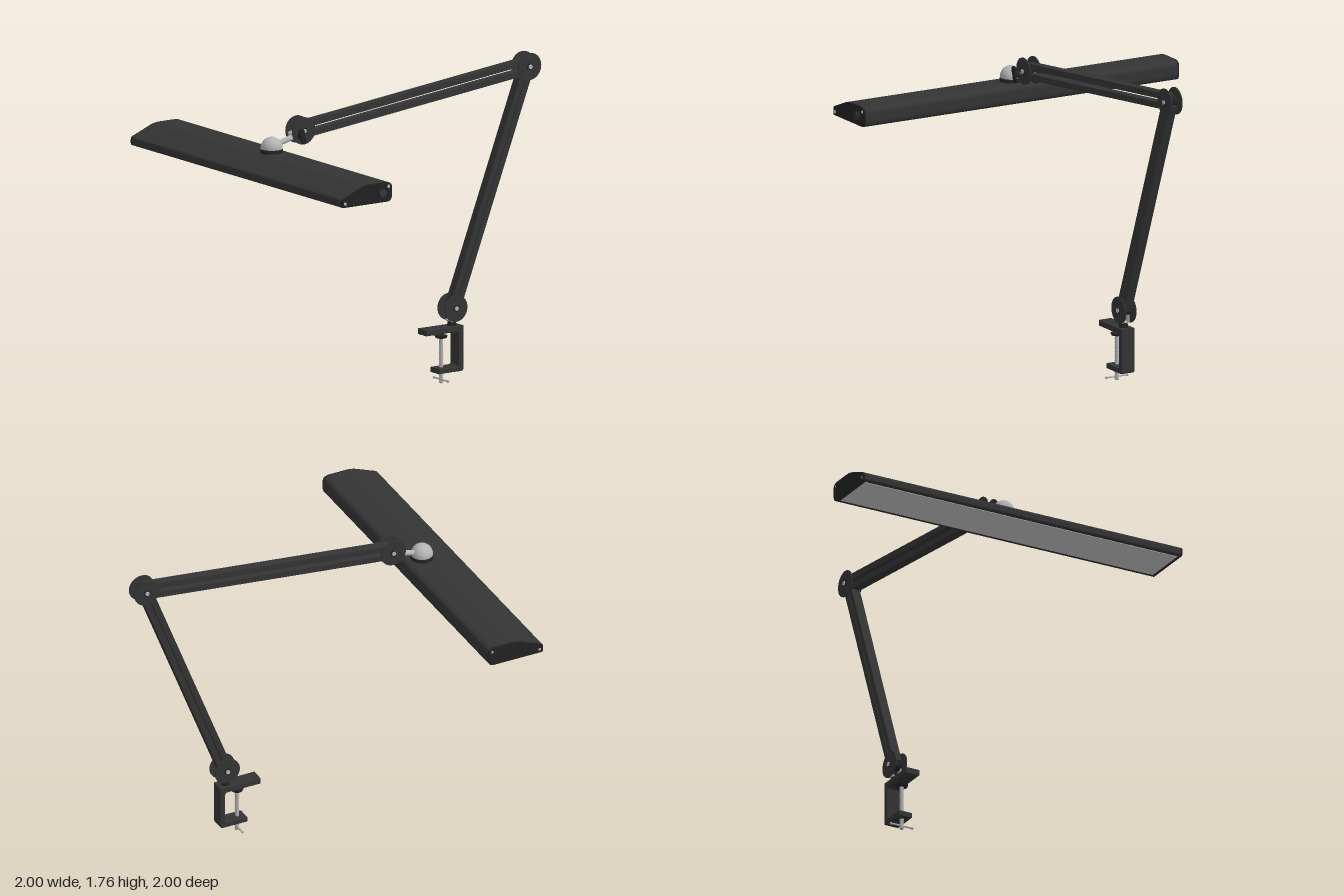
import * as THREE from 'three';

const mat = (name, color, side = THREE.FrontSide) => {
  const m = new THREE.MeshStandardMaterial({ color, side });
  m.name = name;
  return m;
};

export function createModel() {
  const black = mat('black paint', 0x343434);
  const dark = mat('dark plastic', 0x222222);
  const metal = mat('brushed metal', 0xb4b4b4);
  const diffuserMat = mat('diffuser', 0xc4c4c4);
  const model = new THREE.Group();
  model.name = 'deskLamp';

  const add = (name, geo, material, x = 0, y = 0, z = 0, parent = model) => {
    const mesh = new THREE.Mesh(geo, material);
    mesh.name = name;
    mesh.position.set(x, y, z);
    parent.add(mesh);
    return mesh;
  };
  const box = (w, h, d) => new THREE.BoxGeometry(w, h, d);
  // Cylinder lying along x
  const axle = (r, w, n = 32) => new THREE.CylinderGeometry(r, r, w, n).rotateZ(Math.PI / 2);
  // Side profile of [z, y] points, extruded to width w across x
  const profile = (shape, w, bevel = 0) => {
    const g = new THREE.ExtrudeGeometry(shape, {
      depth: w - 2 * bevel, bevelEnabled: bevel > 0, bevelThickness: bevel,
      bevelSize: bevel, bevelOffset: -bevel, bevelSegments: 2, curveSegments: 8,
    });
    return g.translate(0, 0, -w / 2 + bevel).rotateY(-Math.PI / 2);
  };
  // Cylinder between two points in the x = 0 plane, given as [z, y]
  const rod = (name, a, b, r, material) => {
    const dz = b[0] - a[0], dy = b[1] - a[1];
    const g = new THREE.CylinderGeometry(r, r, Math.hypot(dz, dy), 20).rotateX(Math.atan2(dz, dy));
    return add(name, g, material, 0, (a[1] + b[1]) / 2, (a[0] + b[0]) / 2);
  };

  // Joint positions [z, y]
  const base = [-0.43, 0.41], elbow = [-0.92, 1.69], wrist = [0.58, 1.52];

  // Joints: a pair of round plates with bolt heads
  const joint = (name, [z, y]) => {
    const g = new THREE.Group();
    g.name = name;
    g.position.set(0, y, z);
    model.add(g);
    for (const s of [-1, 1]) {
      add('jointPlate', axle(0.075, 0.006, 40), black, s * 0.032, 0, 0, g);
      add('boltWasher', axle(0.019, 0.004, 20), dark, s * 0.037, 0, 0, g);
      add('boltHead', axle(0.013, 0.007, 6), metal, s * 0.041, 0, 0, g);
    }
    add('jointHub', axle(0.03, 0.058, 24), dark, 0, 0, 0, g);
  };
  joint('baseJoint', base);
  joint('elbowJoint', elbow);
  joint('wristJoint', wrist);

  // Arms: two parallel square bars each
  const arm = (name, a, b, offset) => {
    const dz = b[0] - a[0], dy = b[1] - a[1];
    const g = new THREE.Group();
    g.name = name;
    g.position.set(0, (a[1] + b[1]) / 2, (a[0] + b[0]) / 2);
    g.rotation.x = Math.atan2(dz, dy);
    model.add(g);
    for (const s of [-1, 1])
      add('armBar', box(0.052, Math.hypot(dz, dy) - 0.02, 0.034), black, 0, 0, s * offset, g);
  };
  arm('lowerArm', base, elbow, 0.0195);
  arm('upperArm', elbow, wrist, 0.028);

  // C-shaped table clamp
  const c = new THREE.Shape();
  c.moveTo(-0.23, 0.28);
  c.lineTo(-0.23, 0.312);
  c.lineTo(-0.475, 0.312);
  c.lineTo(-0.475, 0.075);
  c.quadraticCurveTo(-0.475, 0.06, -0.46, 0.06);
  c.lineTo(-0.312, 0.06);
  c.lineTo(-0.312, 0.088);
  c.lineTo(-0.432, 0.088);
  c.quadraticCurveTo(-0.446, 0.088, -0.446, 0.102);
  c.lineTo(-0.446, 0.266);
  c.quadraticCurveTo(-0.446, 0.28, -0.432, 0.28);
  c.closePath();
  add('clampFrame', profile(c, 0.082, 0.003), black);

  // Clamp screw with ridged thread, pad and cross handle
  const thread = [new THREE.Vector2(0, 0)];
  for (let i = 0; i <= 40; i++) thread.push(new THREE.Vector2(i % 2 ? 0.0125 : 0.0095, i * 0.0063));
  thread.push(new THREE.Vector2(0, 0.252));
  add('clampScrew', new THREE.LatheGeometry(thread, 16), metal, 0, 0, -0.355);
  add('clampPad', new THREE.CylinderGeometry(0.036, 0.03, 0.012, 28), dark, 0, 0.257, -0.355);
  add('clampHandle', axle(0.005, 0.13, 12), metal, 0, 0.02, -0.355);
  for (const s of [-1, 1])
    add('handleEnd', new THREE.SphereGeometry(0.008, 12, 8), metal, s * 0.065, 0.02, -0.355);

  // Swivel post and metal fork carrying the base joint
  add('swivelPost', new THREE.CylinderGeometry(0.022, 0.026, 0.03, 24), dark, 0, 0.322, -0.425);
  add('baseForkFloor', box(0.056, 0.006, 0.034), metal, 0, 0.337, -0.425);
  for (const s of [-1, 1])
    add('baseForkSide', box(0.006, 0.075, 0.034), metal, s * 0.025, 0.372, -0.425);

  // Wrist fork, pivot and wing knob
  for (const s of [-1, 1])
    add('wristFork', box(0.007, 0.04, 0.09), metal, s * 0.023, 1.505, 0.595).rotation.x = 0.3;
  add('wristPivot', axle(0.02, 0.065, 24), metal, 0, 1.495, 0.62);
  add('knobShaft', axle(0.007, 0.04, 12), metal, 0.045, 1.5, 0.615);
  add('knobHub', axle(0.017, 0.02, 20), dark, 0.055, 1.5, 0.615);
  const wing = new THREE.Shape();
  wing.moveTo(-0.014, 0);
  wing.quadraticCurveTo(-0.03, 0.045, 0, 0.045);
  wing.quadraticCurveTo(0.022, 0.04, 0.014, 0);
  wing.quadraticCurveTo(0.022, -0.045, 0, -0.045);
  wing.quadraticCurveTo(-0.022, -0.04, -0.014, 0);
  add('wingKnob', profile(wing, 0.014, 0.003), dark, 0.07, 1.5, 0.615).rotation.x = 0.3;

  // Neck rod and ball joint on the shade
  rod('neckRod', [0.615, 1.49], [0.76, 1.455], 0.015, metal);
  add('ballJoint', new THREE.SphereGeometry(0.06, 36, 24), metal, 0, 1.445, 0.77);
  add('ballCollar', new THREE.CylinderGeometry(0.06, 0.064, 0.022, 36), dark, 0, 1.429, 0.77);

  // Long lamp shade
  const head = () => {
    const s = new THREE.Shape();
    s.moveTo(0.985, 1.31);
    s.quadraticCurveTo(1, 1.31, 1, 1.325);
    s.lineTo(1, 1.345);
    s.quadraticCurveTo(1, 1.357, 0.985, 1.363);
    s.lineTo(0.88, 1.405);
    s.quadraticCurveTo(0.845, 1.42, 0.81, 1.42);
    s.lineTo(0.705, 1.42);
    s.quadraticCurveTo(0.665, 1.418, 0.665, 1.385);
    s.lineTo(0.665, 1.345);
    s.quadraticCurveTo(0.668, 1.31, 0.695, 1.31);
    s.closePath();
    return s;
  };
  add('shade', profile(head(), 1.965), black, -0.0075);
  for (const x of [-0.995, 0.98])
    add('endCap', profile(head(), 0.01, 0.003), dark, x);
  add('diffuser', box(1.94, 0.004, 0.27), diffuserMat, -0.0075, 1.3095, 0.845);

  // Switch and screws on the end caps
  add('switchRing', axle(0.032, 0.008, 6), dark, 0.988, 1.365, 0.735);
  add('switchButton', axle(0.023, 0.012, 24), black, 0.994, 1.365, 0.735);
  for (const [z, y] of [[0.978, 1.332], [0.69, 1.395]])
    for (const x of [-0.9985, 0.986])
      add('capScrew', axle(0.009, 0.003, 16), metal, x, y, z);

  return model;
}
